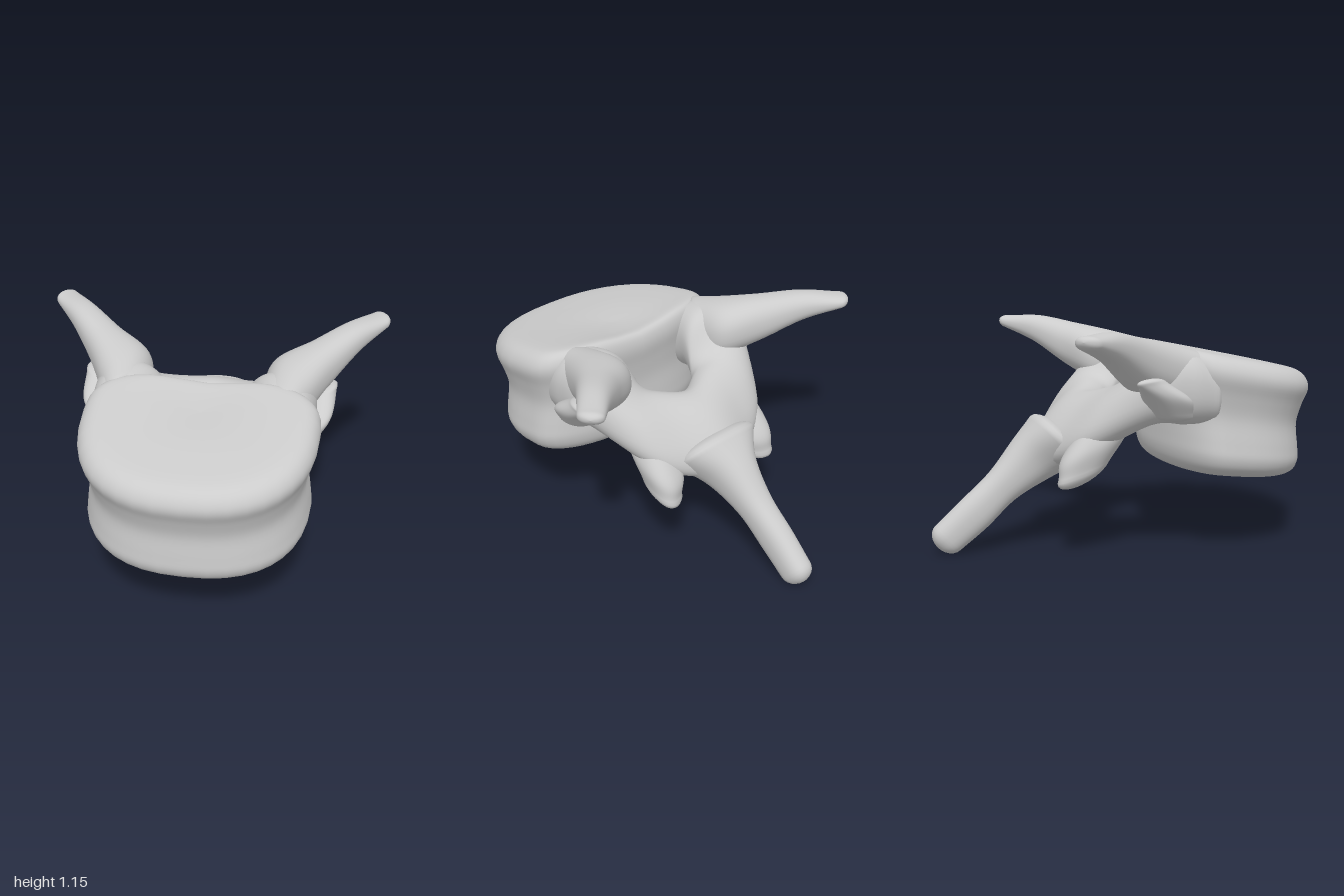
import * as THREE from 'three';

const SEG = 40;
const material = new THREE.MeshStandardMaterial({ color: 0xcccccc, side: THREE.DoubleSide });

const { lerp } = THREE.MathUtils;
const power = (c, n) => Math.sign(c) * Math.abs(c) ** (2 / n);

// Skin a list of closed rings (the first and last ring are single points)
function skin(name, rings, flip) {
  const pos = rings.flat().flatMap(p => [p.x, p.y, p.z]);
  const index = [];
  for (let i = 0; i < rings.length - 1; i++) {
    for (let j = 0; j < SEG; j++) {
      const a = i * SEG + j, b = i * SEG + (j + 1) % SEG, c = a + SEG, d = b + SEG;
      if (flip) index.push(a, c, b, b, c, d);
      else index.push(a, b, c, b, d, c);
    }
  }
  const geo = new THREE.BufferGeometry();
  geo.setAttribute('position', new THREE.Float32BufferAttribute(pos, 3));
  geo.setIndex(index);
  geo.computeVertexNormals();
  const mesh = new THREE.Mesh(geo, material);
  mesh.name = name;
  return mesh;
}

// Smooth loft through sections [centre, half-axis u, half-axis v], with rounded ends
function loft(name, sections, cap) {
  const [centre, u, v] = [0, 1, 2].map(k => new THREE.CatmullRomCurve3(
    sections.map(s => new THREE.Vector3(...s[k])), false, 'catmullrom'));
  const rings = [];
  const addRing = (t, scale, offset) => {
    const c = centre.getPoint(t).addScaledVector(centre.getTangent(t), offset);
    const a = u.getPoint(t), b = v.getPoint(t);
    rings.push(Array.from({ length: SEG }, (_, j) => {
      const w = j / SEG * Math.PI * 2;
      return c.clone().addScaledVector(a, scale * power(Math.cos(w), 2.3))
        .addScaledVector(b, scale * power(Math.sin(w), 2.3));
    }));
  };
  const steps = (sections.length - 1) * 8, capSteps = 6;
  for (let k = capSteps; k > 0; k--) {
    const w = k / capSteps * Math.PI / 2;
    addRing(0, Math.cos(w), -cap * Math.sin(w));
  }
  for (let i = 0; i <= steps; i++) addRing(i / steps, 1, 0);
  for (let k = 1; k <= capSteps; k++) {
    const w = k / capSteps * Math.PI / 2;
    addRing(1, Math.cos(w), cap * Math.sin(w));
  }
  const facing = u.getPoint(0.5).cross(v.getPoint(0.5)).dot(centre.getTangent(0.5));
  return skin(name, rings, facing < 0);
}

const mirror = sections => sections.map(s => s.map(([x, y, z]) => [-x, y, z]));

// Drum-shaped body: rounded plan, squarer towards the top, waisted sides, sloping end plates
function vertebralBody() {
  const profile = new THREE.SplineCurve([
    [0, 0.01], [0.5, 0], [0.76, 0.015], [0.9, 0.07], [0.955, 0.17], [0.945, 0.3], [0.92, 0.5],
    [0.955, 0.68], [1, 0.82], [0.985, 0.91], [0.92, 0.975], [0.8, 1], [0.5, 0.995], [0, 0.985],
  ].map(p => new THREE.Vector2(...p)));
  const rings = [];
  for (let i = 0; i <= 60; i++) {
    const { x: scale, y: f } = profile.getPoint(i / 60);
    rings.push(Array.from({ length: SEG }, (_, j) => {
      const w = j / SEG * Math.PI * 2, s = Math.sin(w);
      const n = s > 0 ? 2.4 : lerp(2.2, 3, f);
      const x = scale * 0.575 * power(Math.cos(w), n);
      const z = 0.42 + scale * (s > 0 ? lerp(0.545, 0.583, f) : 0.26) * power(s, n);
      const dip = 0.04 * f * Math.exp(-((x / 0.22) ** 2)) * THREE.MathUtils.smoothstep(-z, -0.7, -0.2);
      return new THREE.Vector3(0.025 + x, lerp(0.44 - 0.12 * z, 1.09 - 0.2 * z, f) - dip, z);
    }));
  }
  return skin('vertebralBody', rings, true);
}

export function createModel() {
  const group = new THREE.Group();
  group.name = 'vertebra';
  group.add(vertebralBody());

  // Pedicles and laminae as one arch around the canal
  const halfArch = [
    [[0.38, 0.83, 0.34], [0.15, 0, 0], [0, 0.16, 0]],
    [[0.39, 0.855, 0.2], [0.165, 0, 0], [0, 0.185, 0]],
    [[0.37, 0.85, 0.05], [0.17, 0, -0.04], [0, 0.18, 0.01]],
    [[0.27, 0.7, -0.14], [0.12, 0.02, -0.1], [0, 0.19, 0.1]],
    [[0.14, 0.635, -0.23], [0.06, 0.06, -0.09], [0.01, 0.19, 0.15]],
  ];
  const middle = [[0, 0.61, -0.29], [0, 0.07, -0.1], [0, 0.18, 0.16]];
  group.add(loft('neuralArch', [...halfArch, middle, ...mirror(halfArch).reverse()], 0.05));

  // Rear spine sloping down to the back
  group.add(loft('rearSpine', [
    [[0, 0.56, -0.35], [0.24, 0, 0], [0, 0.12, -0.11]],
    [[0, 0.465, -0.475], [0.13, 0, 0], [0, 0.1, -0.09]],
    [[-0.01, 0.335, -0.63], [0.085, 0, 0], [0, 0.07, -0.065]],
    [[-0.02, 0.2, -0.78], [0.075, 0, 0], [0, 0.07, -0.065]],
    [[-0.02, 0.085, -0.915], [0.07, 0, 0], [0, 0.065, -0.06]],
  ], 0.07));

  // Paired side wings and joint knobs: rounded end depth, then sections
  const paired = {
    TransverseWing: [0.05, [
      [[0.38, 0.9, 0.22], [0.1, 0, 0.1], [0, 0.14, 0]],
      [[0.42, 0.94, 0.05], [0.11, 0, 0.12], [0, 0.145, 0]],
      [[0.55, 1.0, -0.1], [0.07, 0, 0.09], [0, 0.12, 0]],
      [[0.7, 1.08, -0.26], [0.05, 0, 0.065], [0, 0.075, 0]],
      [[0.83, 1.115, -0.4], [0.042, 0, 0.05], [0, 0.035, 0]],
    ]],
    UpperJoint: [0.04, [
      [[0.5, 0.73, 0.11], [0.08, 0, 0.02], [0, 0, 0.09]],
      [[0.55, 0.82, 0.06], [0.085, 0, 0.02], [0, 0, 0.11]],
      [[0.6, 0.9, -0.03], [0.045, 0, -0.02], [0, 0.01, 0.07]],
    ]],
    LowerJoint: [0.09, [
      [[0.26, 0.71, -0.13], [0.11, 0, -0.03], [0, 0.02, 0.12]],
      [[0.29, 0.57, -0.22], [0.115, 0, -0.03], [0, 0.06, 0.17]],
      [[0.305, 0.45, -0.28], [0.09, 0, -0.03], [0, 0.04, 0.13]],
    ]],
  };
  for (const [name, [cap, sections]] of Object.entries(paired)) {
    group.add(loft('left' + name, sections, cap));
    group.add(loft('right' + name, mirror(sections), cap));
  }
  return group;
}
